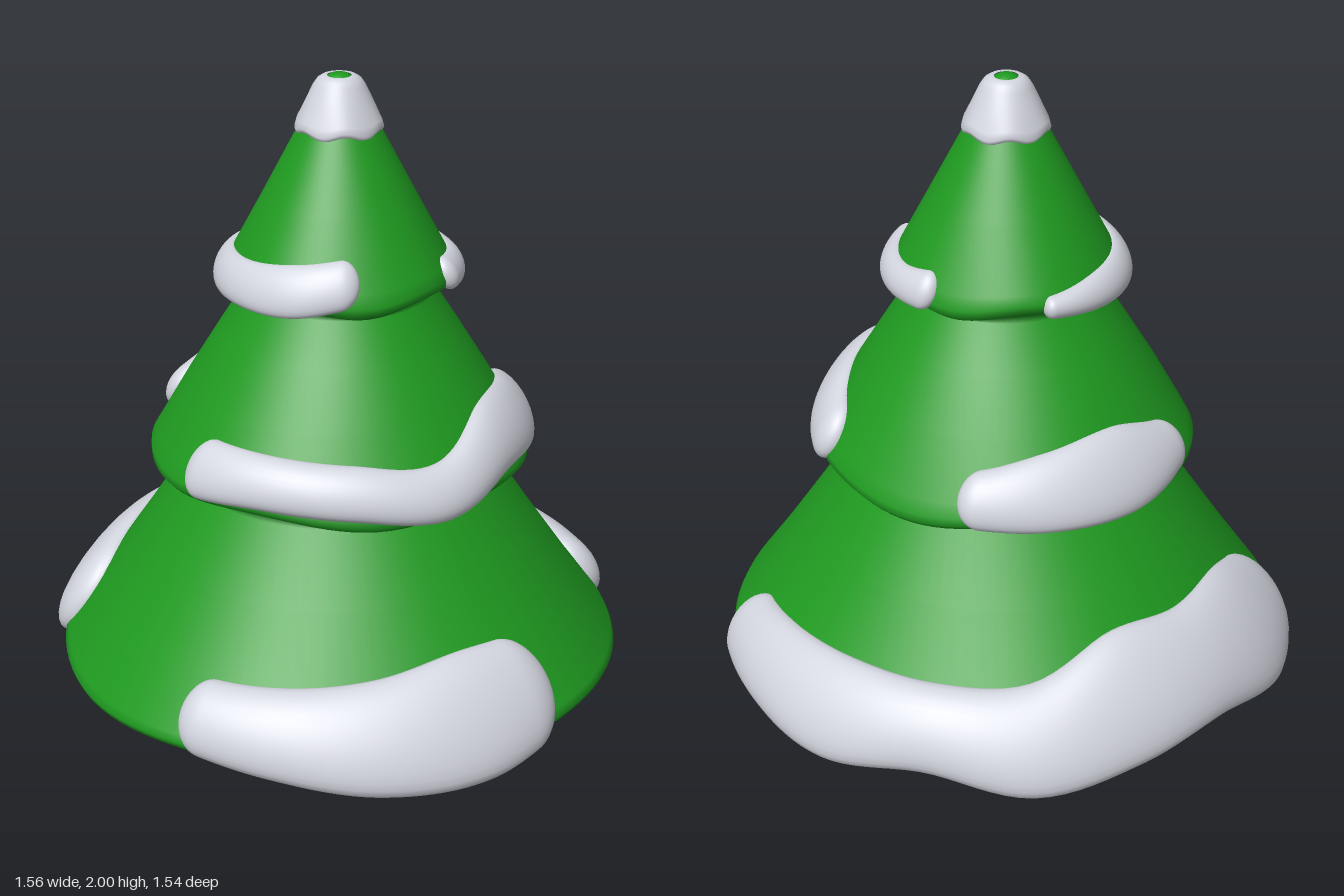
import * as THREE from 'three';
import { mergeVertices } from 'three/addons/utils/BufferGeometryUtils.js';

const mat = (color) => new THREE.MeshStandardMaterial({ color, roughness: 0.8 });
const rad = THREE.MathUtils.degToRad;

// Weld seams and recompute smooth normals.
function smooth(geometry) {
  geometry.deleteAttribute('uv');
  geometry.deleteAttribute('normal');
  const welded = mergeVertices(geometry, 1e-5);
  welded.computeVertexNormals();
  return welded;
}

// Lathe whose profile points are [radius, y, wave]; wave lifts the rim up and down.
function wavyLathe(profile, waveAt) {
  const geometry = new THREE.LatheGeometry(profile.map(([r, y]) => new THREE.Vector2(r, y)), 96);
  const pos = geometry.attributes.position;
  for (let i = 0; i < pos.count; i++) {
    const a = Math.atan2(pos.getX(i), pos.getZ(i));
    const w = profile[i % profile.length][2] || 0;
    pos.setY(i, pos.getY(i) + w * waveAt(a));
  }
  return smooth(geometry);
}

// Smooth interpolation through evenly spaced values.
function sample(values, t) {
  const f = t * (values.length - 1);
  const i = Math.min(Math.floor(f), values.length - 2);
  const at = (k) => values[THREE.MathUtils.clamp(k, 0, values.length - 1)];
  const [p, q, r, s] = [at(i - 1), at(i), at(i + 1), at(i + 2)];
  const x = f - i;
  return q + 0.5 * x * (r - p + x * (2 * p - 5 * q + 4 * r - s + x * (3 * (q - r) + s - p)));
}

// Surface radius of each tier at height y.
const tiers = {
  lower: { radius: (y) => 0.41 + (0.95 - y) * 0.66, thick: 0.06 },
  middle: { radius: (y) => 0.24 + (1.45 - y) * 0.6, thick: 0.042 },
  upper: { radius: (y) => 0.1 + (1.87 - y) * 0.51, thick: 0.03 },
};

// Rounded roll of snow lying on a tier from one angle to another (0 = front, 90 = +x).
function snowRoll({ tier, from, to, tops, bottoms }) {
  const { radius, thick } = tiers[tier];
  const along = 96, around = 28;
  const pos = [], index = [];
  for (let i = 0; i <= along; i++) {
    const t = (1 - Math.cos((Math.PI * i) / along)) / 2;
    const a = rad(THREE.MathUtils.lerp(from, to, t));
    const top = sample(tops, t), bottom = sample(bottoms, t);
    const midY = (top + bottom) / 2, midR = radius(midY);
    const dr = (radius(top) - radius(bottom)) / 2, dy = (top - bottom) / 2;
    const half = Math.hypot(dr, dy);
    // Round off the two ends
    const cap = half * 0.75;
    const d = Math.min(Math.min(t, 1 - t) * rad(to - from) * midR, cap);
    const s = Math.sqrt(Math.max(0, 1 - ((cap - d) / cap) ** 2));
    for (let j = 0; j < around; j++) {
      const q = (j / around) * Math.PI * 2;
      const u = Math.cos(q) * s, v = (Math.sin(q) * s * thick) / half;
      const r = midR + dr * u + dy * v;
      pos.push(r * Math.sin(a), midY + dy * u - dr * v, r * Math.cos(a));
      if (i < along) {
        const k = i * around + j, n = i * around + ((j + 1) % around);
        index.push(k, n, k + around, n, n + around, k + around);
      }
    }
  }
  const geometry = new THREE.BufferGeometry();
  geometry.setAttribute('position', new THREE.Float32BufferAttribute(pos, 3));
  geometry.setIndex(index);
  return smooth(geometry);
}

export function createModel() {
  const tree = new THREE.Group();
  tree.name = 'snowyTree';
  const green = mat(0x1f9a20), snow = mat(0xd3d5df), bark = mat(0x5a3d3a);
  const add = (name, geometry, material) => {
    const mesh = new THREE.Mesh(geometry, material);
    mesh.name = name;
    tree.add(mesh);
  };

  // Tapered trunk with a softened foot
  const trunk = [[0, 0], [0.128, 0], [0.128, 0], [0.135, 0.008], [0.135, 0.02], [0.1, 0.46], [0.1, 0.55]];
  add('trunk', new THREE.LatheGeometry(trunk.map(([r, y]) => new THREE.Vector2(r, y)), 64), bark);

  // Three stacked tiers with wavy rims, from the hollow underside to the tip
  const foliage = [
    [0, 0.5], [0.1, 0.495], [0.4, 0.46, 0.4], [0.66, 0.425, 1], [0.72, 0.42, 1], [0.745, 0.428, 1],
    [0.752, 0.445, 1], [0.742, 0.465, 0.8], [0.645, 0.6, 0.3], [0.53, 0.77], [0.415, 0.945],
    [0.412, 0.96, 0.4], [0.45, 0.972, 1], [0.485, 0.985, 1], [0.498, 1.0, 1], [0.497, 1.02, 1],
    [0.48, 1.05, 0.6], [0.4, 1.19], [0.32, 1.32], [0.245, 1.438],
    [0.245, 1.45, 0.5], [0.275, 1.462, 0.8], [0.292, 1.475, 0.8], [0.295, 1.495, 0.8],
    [0.283, 1.525, 0.4], [0.2, 1.68], [0.1, 1.87], [0.045, 1.97], [0.036, 1.988], [0.02, 1.998], [0, 2],
  ];
  add('foliage', wavyLathe(foliage, (a) => 0.01 * Math.sin(5 * a + 2) + 0.006 * Math.sin(3 * a)), green);

  // Snow cap leaving the very tip bare
  const cap = [
    [0.09, 1.87, 1], [0.1, 1.858, 1], [0.108, 1.858, 1], [0.112, 1.868, 1], [0.107, 1.885, 0.6],
    [0.085, 1.93], [0.066, 1.97], [0.055, 1.986], [0.042, 1.994], [0.03, 1.994],
  ];
  add('snowCap', wavyLathe(cap, (a) => 0.006 * Math.sin(6 * a)), snow);

  // Snow rolls along the rims
  const rolls = [
    { name: 'lowerFrontSnow', tier: 'lower', from: -87, to: -3,
      tops: [0.6, 0.61, 0.63, 0.66, 0.65], bottoms: [0.44, 0.42, 0.39, 0.385, 0.42] },
    { name: 'lowerBackSnow', tier: 'lower', from: 51, to: 221,
      tops: [0.58, 0.6, 0.61, 0.61, 0.62, 0.7, 0.69, 0.69, 0.63],
      bottoms: [0.41, 0.4, 0.385, 0.42, 0.38, 0.41, 0.43, 0.385, 0.41] },
    { name: 'middleFrontSnow', tier: 'middle', from: -105, to: 64,
      tops: [1.14, 1.14, 1.13, 1.11, 1.19, 1.18, 1.13], bottoms: [1.0, 1.02, 1.01, 0.985, 1.03, 1.01, 1.0] },
    { name: 'middleBackSnow', tier: 'middle', from: 116, to: 199,
      tops: [1.12, 1.16, 1.18, 1.13], bottoms: [1.0, 0.99, 0.99, 1.02] },
    { name: 'upperBackSnow', tier: 'upper', from: -211, to: -42,
      tops: [1.52, 1.54, 1.55, 1.56, 1.58, 1.6], bottoms: [1.47, 1.46, 1.455, 1.455, 1.46, 1.49] },
    { name: 'upperFrontSnow', tier: 'upper', from: 12, to: 93,
      tops: [1.55, 1.54, 1.54, 1.56], bottoms: [1.47, 1.46, 1.46, 1.465] },
  ];
  for (const roll of rolls) add(roll.name, snowRoll(roll), snow);

  return tree;
}
